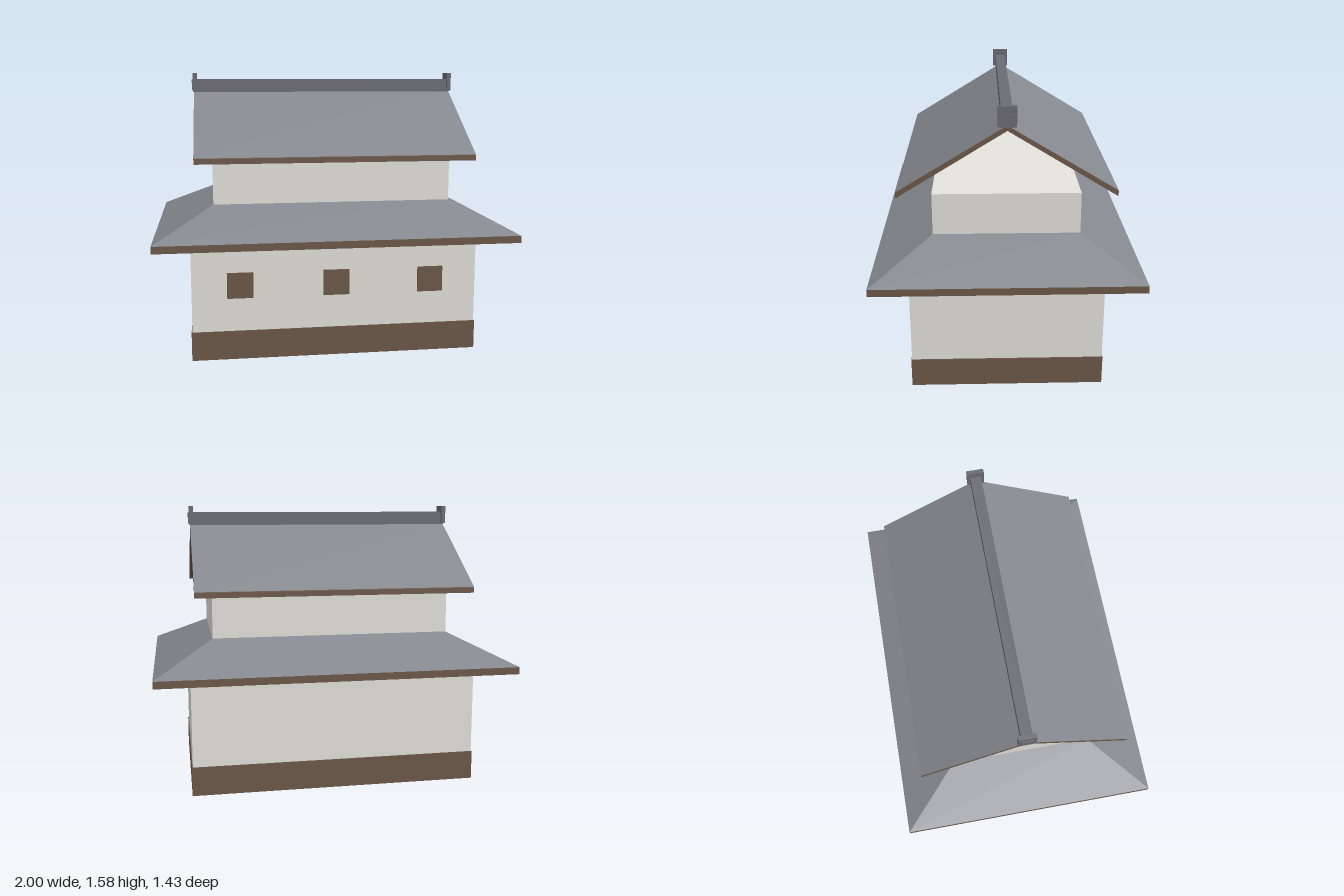
import * as THREE from 'three';

const mat = (color) => new THREE.MeshStandardMaterial({ color, flatShading: true, side: THREE.DoubleSide });

export function createModel() {
  const group = new THREE.Group();
  const plaster = mat(0xe6e4de);
  const wood = mat(0x6e5a4b);
  const tile = mat(0x85888e);
  const ridgeTile = mat(0x6c6d74);

  const add = (name, geometry, material) => {
    const mesh = new THREE.Mesh(geometry, material);
    mesh.name = name;
    group.add(mesh);
    return mesh;
  };

  // Box given by its size, centre x and z, and bottom height
  const box = (name, material, w, h, d, x, y, z) =>
    add(name, new THREE.BoxGeometry(w, h, d), material).position.set(x, y + h / 2, z);

  // Four-sided bands joining rectangular rings [halfWidth, halfDepth, y]
  const bands = (name, material, rings) => {
    const corners = ([w, d, y]) => [[w, y, d], [w, y, -d], [-w, y, -d], [-w, y, d]];
    const points = [];
    for (let r = 0; r < rings.length - 1; r++) {
      const a = corners(rings[r]);
      const b = corners(rings[r + 1]);
      for (let i = 0; i < 4; i++) {
        const j = (i + 1) % 4;
        points.push(...a[i], ...a[j], ...b[j], ...a[i], ...b[j], ...b[i]);
      }
    }
    const geometry = new THREE.BufferGeometry();
    geometry.setAttribute('position', new THREE.Float32BufferAttribute(points, 3));
    geometry.computeVertexNormals();
    add(name, geometry, material);
  };

  // Lower storey, hollow underneath with a raised floor
  bands('lowerWalls', plaster, [[0.805, 0.524, 0], [0.805, 0.524, 0.71]]);
  bands('baseBand', wood, [[0.81, 0.528, 0], [0.81, 0.528, 0.163], [0.805, 0.524, 0.163]]);
  box('floor', wood, 1.6, 0.006, 1.04, 0, 0.16, 0);

  // Front windows
  for (const x of [-0.538, 0, 0.538]) {
    box('window', wood, 0.145, 0.145, 0.02, x, 0.35, 0.521);
  }

  // Skirt roof: sloping soffit, fascia and hipped tiles
  bands('skirtRoofEaves', wood, [[0.805, 0.524, 0.71], [1, 0.716, 0.657], [1, 0.716, 0.697]]);
  bands('skirtRoofTiles', tile, [[1, 0.716, 0.697], [0.675, 0.396, 0.857]]);

  // Upper storey
  box('upperWalls', plaster, 1.35, 0.285, 0.792, 0, 0.8, 0);

  // Gabled roof: bent timber slab with tiles on its two slopes
  const slab = new THREE.Shape([
    [-0.573, 1.102], [0, 1.455], [0.573, 1.102], [0.573, 1.132], [0, 1.48], [-0.573, 1.132],
  ].map(([z, y]) => new THREE.Vector2(z, y)));
  const slabGeometry = new THREE.ExtrudeGeometry(slab, { depth: 1.548, bevelEnabled: false });
  slabGeometry.translate(0, 0, -0.774).rotateY(Math.PI / 2);
  add('gableRoofTimber', slabGeometry, wood);

  for (const side of [1, -1]) {
    const slope = new THREE.PlaneGeometry(1.548, Math.hypot(0.573, 0.348));
    slope.rotateX(-Math.atan2(0.573, 0.348)).translate(0, 1.309, 0.2865);
    if (side < 0) slope.rotateY(Math.PI);
    add('gableRoofTiles', slope, tile);
  }

  // Ridge beam with an end plate and a raised collar at each end
  box('ridge', ridgeTile, 1.55, 0.075, 0.06, 0, 1.47, 0);
  for (const x of [-0.768, 0.768]) {
    box('ridgeEndPlate', ridgeTile, 0.024, 0.106, 0.096, x, 1.475, 0);
    box('ridgeEndCollar', ridgeTile, 0.034, 0.06, 0.06, x, 1.482, 0);
  }

  return group;
}
